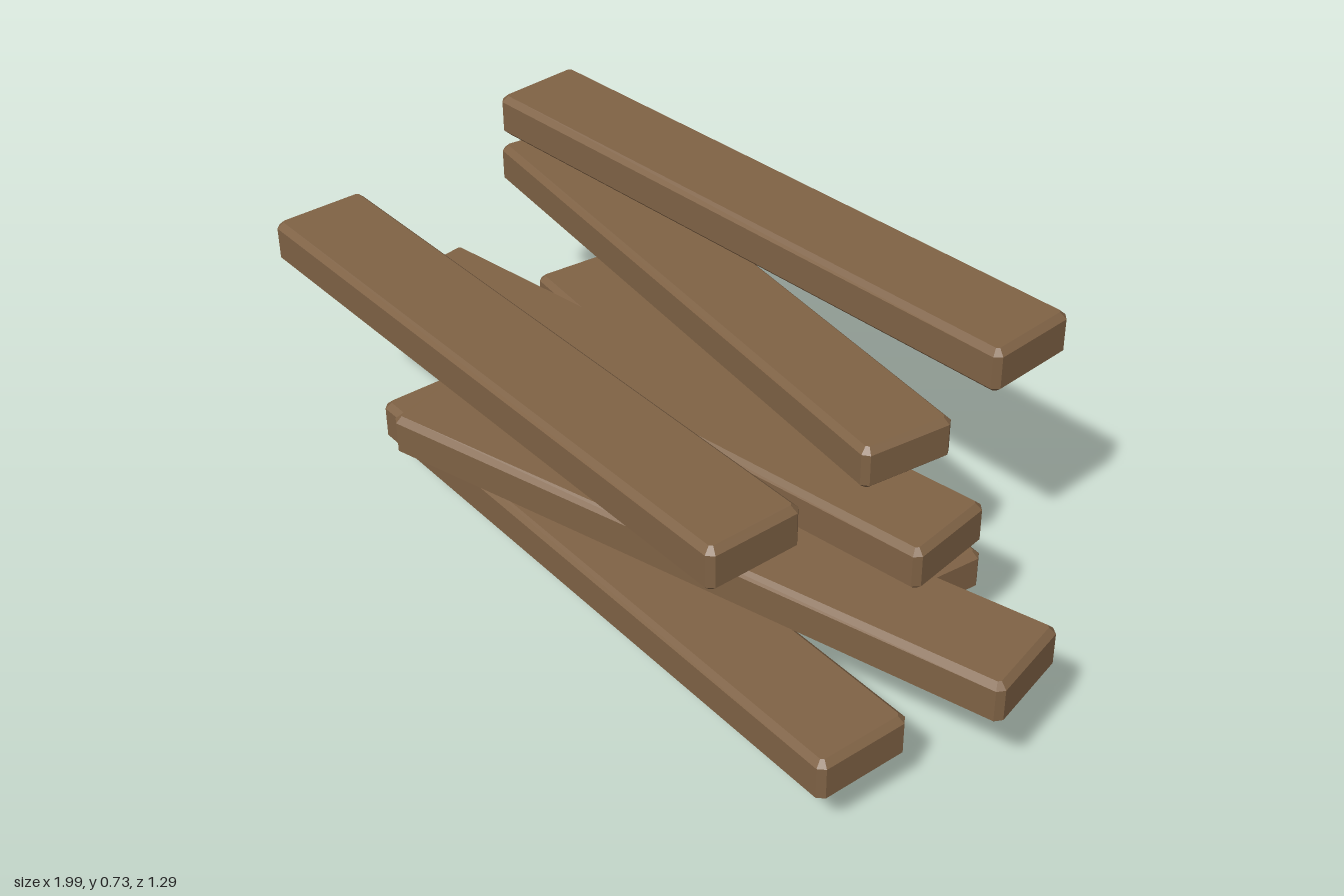
import * as THREE from 'three';

const LENGTH = 1.56, WIDTH = 0.23, HEIGHT = 0.104, STEP = 0.105, BEVEL = 0.014;

// Plank with every edge chamfered, lying along x with its underside on y = 0
function plankGeometry() {
  const x = LENGTH / 2 - BEVEL, z = WIDTH / 2 - BEVEL, c = 0.006;
  const outline = new THREE.Shape([
    [x, -z + c], [x, z - c], [x - c, z], [-x + c, z],
    [-x, z - c], [-x, -z + c], [-x + c, -z], [x - c, -z],
  ].map(([a, b]) => new THREE.Vector2(a, b)));
  const geometry = new THREE.ExtrudeGeometry(outline, {
    depth: HEIGHT - 2 * BEVEL, bevelEnabled: true, bevelSegments: 1,
    bevelSize: BEVEL, bevelThickness: BEVEL,
  });
  return geometry.rotateX(-Math.PI / 2).translate(0, BEVEL, 0);
}

// Planks from bottom to top: centre x, centre z, turn in degrees
const PLANKS = [
  [-0.20, -0.335, -15.1],
  [0.05, 0.355, -10.1],
  [0.205, 0.262, 5.7],
  [-0.078, 0.065, -0.3],
  [-0.219, -0.23, -16.3],
  [-0.195, 0.407, -9.5],
  [-0.103, -0.288, -5],
];

export function createModel() {
  const group = new THREE.Group();
  group.name = 'plankStack';
  const wood = new THREE.MeshStandardMaterial({ color: 0x7f6245 });
  wood.name = 'brown wood';
  const geometry = plankGeometry();
  PLANKS.forEach(([x, z, turn], i) => {
    const plank = new THREE.Mesh(geometry, wood);
    plank.name = `plank${i + 1}`;
    plank.position.set(x, i * STEP, z);
    plank.rotation.y = THREE.MathUtils.degToRad(turn);
    group.add(plank);
  });
  return group;
}
